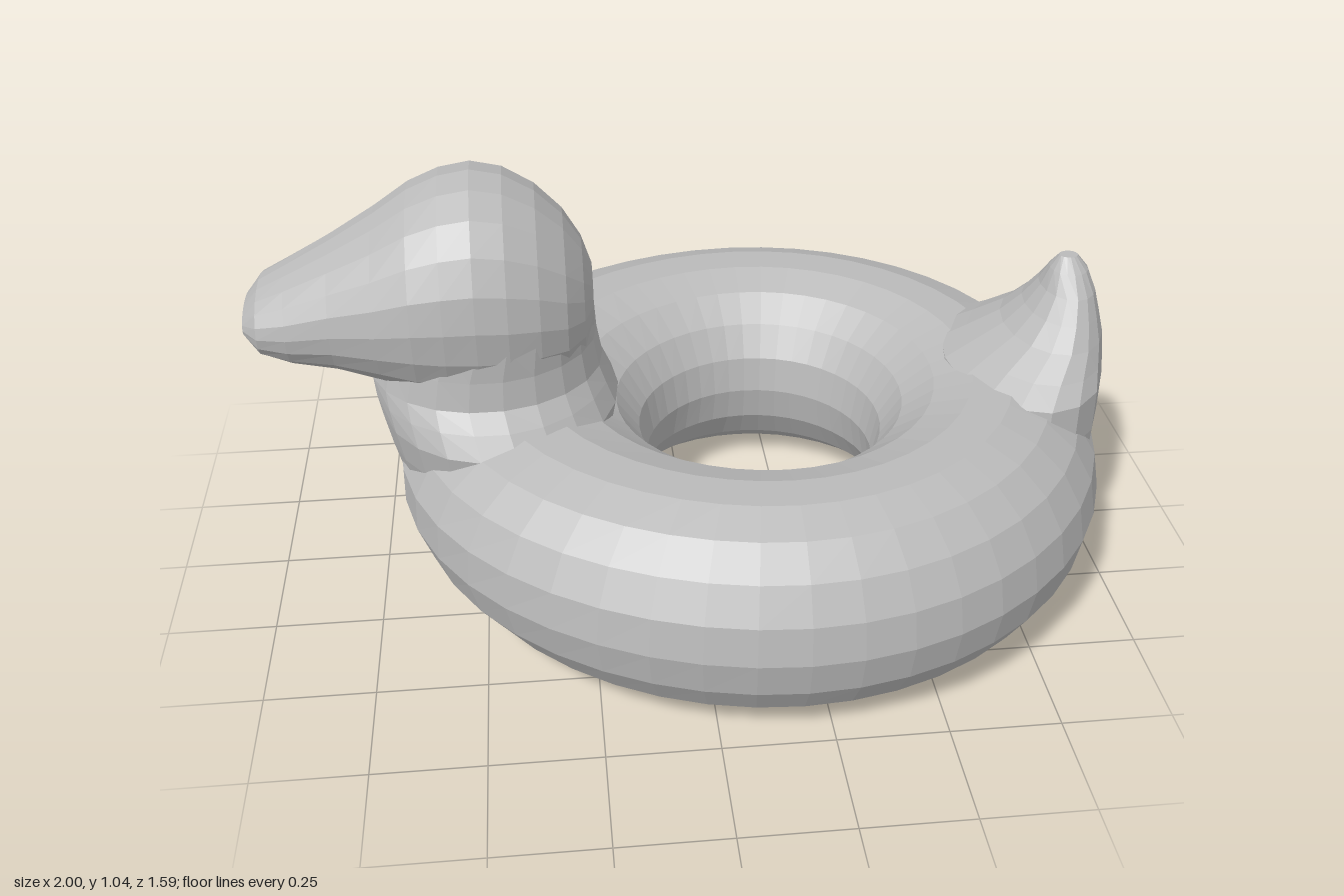
import * as THREE from 'three';

const rubber = new THREE.MeshStandardMaterial({ color: 0xbababa, flatShading: true });
rubber.name = 'grey rubber';

// Joins elliptical cross-sections into a closed skin; place(section, cos, sin) gives a point.
function loft(sections, sides, place) {
  const pos = [], idx = [];
  for (const s of sections) {
    for (let j = 0; j < sides; j++) {
      const a = (j / sides) * Math.PI * 2;
      pos.push(...place(s, Math.cos(a), Math.sin(a)));
    }
  }
  const last = sections.length - 1;
  const start = pos.length / 3;
  pos.push(...place(sections[0], 0, 0), ...place(sections[last], 0, 0));
  for (let j = 0; j < sides; j++) {
    const k = (j + 1) % sides;
    for (let i = 0; i < last; i++) {
      const a = i * sides + j, b = i * sides + k;
      idx.push(a, b, a + sides, b, b + sides, a + sides);
    }
    idx.push(start, k, j, start + 1, last * sides + j, last * sides + k);
  }
  const g = new THREE.BufferGeometry();
  g.setAttribute('position', new THREE.Float32BufferAttribute(pos, 3));
  g.setIndex(idx);
  const flat = g.toNonIndexed();
  flat.computeVertexNormals();
  return flat;
}

// Section [y, xMin, xMax, zHalf], stacked upwards
const upright = ([y, x0, x1, w], c, s) => [(x0 + x1) / 2 + ((x1 - x0) / 2) * c, y, -w * s];
// Section [x, yMin, yMax, zHalf], running towards +x
const lengthwise = ([x, y0, y1, w], c, s) => [x, (y0 + y1) / 2 + ((y1 - y0) / 2) * c, w * s];

// Inflated ring, stretched along x and swelling into a chest at -x
function ringGeometry() {
  const g = new THREE.TorusGeometry(0.535, 0.258, 18, 44);
  g.rotateX(Math.PI / 2);
  g.translate(0, 0.26, 0);
  const p = g.attributes.position;
  for (let i = 0; i < p.count; i++) {
    const x = p.getX(i), y = p.getY(i), z = p.getZ(i);
    const r = Math.hypot(x, z), c = x / r;
    const t = (r - 0.277) / 0.516;
    const chest = 0.05 * Math.max(0, -c) ** 3 * (y / 0.26);
    const k = (r + t * (0.028 * c * c + chest)) / r;
    p.setXYZ(i, 0.18 + x * k, Math.max(0.004, y), z * k);
  }
  const flat = g.toNonIndexed();
  flat.computeVertexNormals();
  return flat;
}

const head = [
  [-1.0, 0.68, 0.755, 0.085],
  [-0.965, 0.635, 0.8, 0.13],
  [-0.9, 0.61, 0.835, 0.152],
  [-0.8, 0.592, 0.89, 0.18],
  [-0.7, 0.56, 0.95, 0.215],
  [-0.62, 0.53, 1.005, 0.24],
  [-0.55, 0.51, 1.035, 0.252],
  [-0.48, 0.5, 1.047, 0.254],
  [-0.41, 0.5, 1.032, 0.245],
  [-0.34, 0.52, 0.99, 0.22],
  [-0.28, 0.54, 0.93, 0.18],
  [-0.24, 0.58, 0.865, 0.125],
  [-0.218, 0.65, 0.8, 0.06],
];

const neck = [
  [0.32, -0.69, -0.22, 0.26],
  [0.4, -0.708, -0.18, 0.3],
  [0.48, -0.724, -0.165, 0.315],
  [0.53, -0.735, -0.185, 0.28],
  [0.57, -0.74, -0.2, 0.245],
  [0.64, -0.72, -0.212, 0.238],
  [0.72, -0.68, -0.217, 0.24],
  [0.8, -0.6, -0.24, 0.21],
];

const tail = [
  [0.26, 0.66, 0.995, 0.26],
  [0.4, 0.62, 1.0, 0.28],
  [0.5, 0.63, 1.0, 0.27],
  [0.54, 0.69, 1.0, 0.22],
  [0.59, 0.765, 0.997, 0.168],
  [0.64, 0.812, 0.985, 0.128],
  [0.69, 0.845, 0.972, 0.09],
  [0.735, 0.863, 0.953, 0.05],
  [0.767, 0.882, 0.926, 0.018],
];

export function createModel() {
  const model = new THREE.Group();
  model.name = 'duckSwimRing';
  const add = (name, geometry) => {
    const mesh = new THREE.Mesh(geometry, rubber);
    mesh.name = name;
    model.add(mesh);
  };
  add('ring', ringGeometry());
  add('headAndBeak', loft(head, 20, lengthwise));
  add('neck', loft(neck, 22, upright));
  add('tail', loft(tail, 16, upright));
  return model;
}
